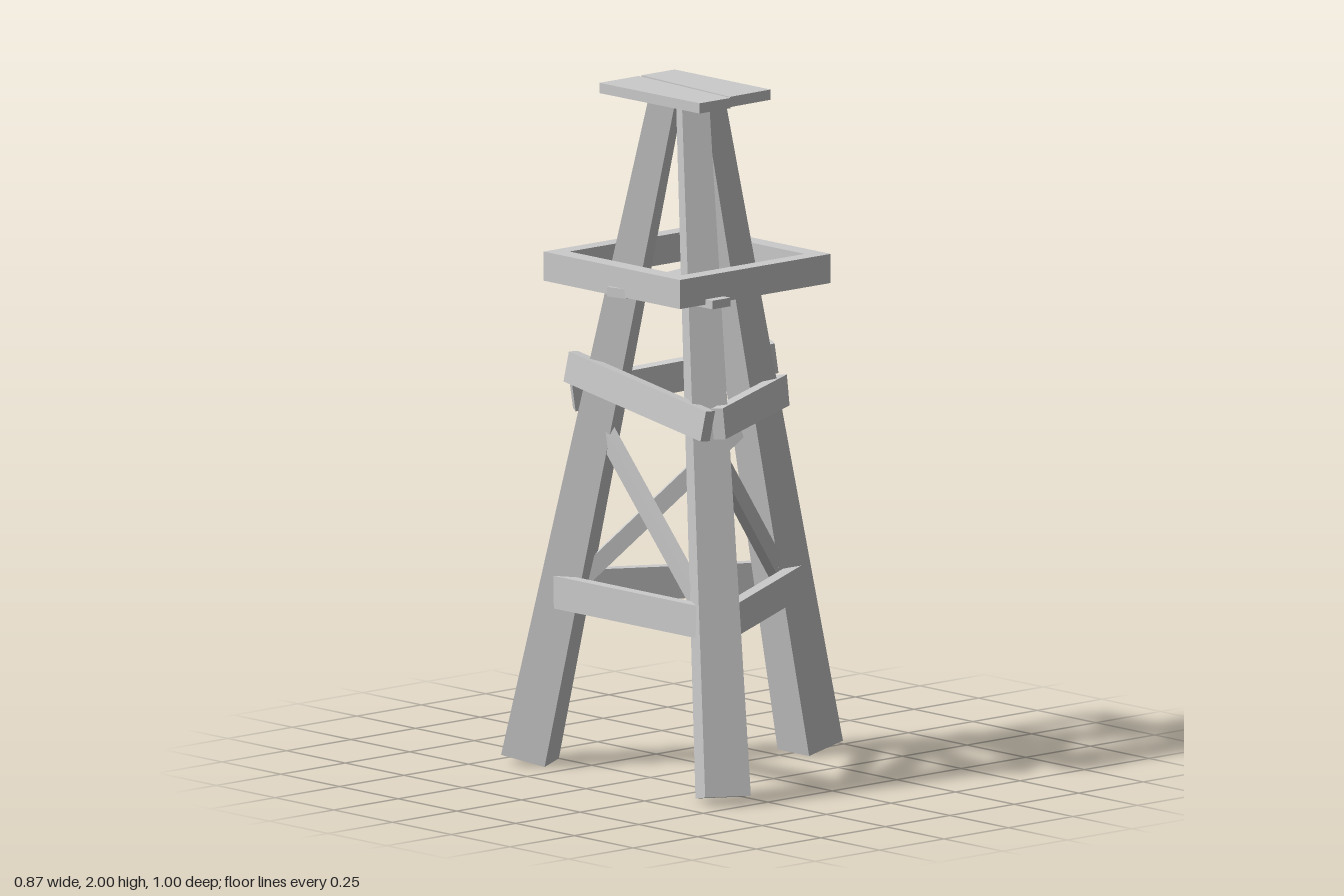
import * as THREE from 'three';

const material = new THREE.MeshStandardMaterial({ color: 0xcccccc, flatShading: true });
const AXIS_X = -0.105; // the tripod's own vertical axis

function add(parent, name, geometry, position = [0, 0, 0], rotation = [0, 0, 0]) {
  const mesh = new THREE.Mesh(geometry, material);
  mesh.name = name;
  mesh.position.set(...position);
  mesh.rotation.set(...rotation);
  parent.add(mesh);
  return mesh;
}

const box = (w, h, d) => new THREE.BoxGeometry(w, h, d);

// Square post, narrower at the top
function taperedPost(bottom, top, height) {
  const geometry = box(1, height, 1);
  const p = geometry.attributes.position;
  for (let i = 0; i < p.count; i++) {
    const s = p.getY(i) > 0 ? top : bottom;
    p.setX(i, p.getX(i) * s);
    p.setZ(i, p.getZ(i) * s);
  }
  geometry.computeVertexNormals();
  return geometry;
}

// Flat slab from an [x, z] outline, hanging down from y = 0
function slab(outline, thickness, hole) {
  const points = (list) => list.map(([x, z]) => new THREE.Vector2(x, z));
  const shape = new THREE.Shape(points(outline));
  if (hole) shape.holes.push(new THREE.Path(points(hole)));
  return new THREE.ExtrudeGeometry(shape, { depth: thickness, bevelEnabled: false }).rotateX(Math.PI / 2);
}

const rect = (x0, x1, z) => [[x0, -z], [x1, -z], [x1, z], [x0, z]];

// Beam running between two points, its local y along the run
function beam(parent, name, from, to, width, depth) {
  const a = new THREE.Vector3(...from);
  const b = new THREE.Vector3(...to);
  const mesh = add(parent, name, box(width, a.distanceTo(b), depth));
  mesh.position.copy(a).add(b).multiplyScalar(0.5);
  mesh.quaternion.setFromUnitVectors(new THREE.Vector3(0, 1, 0), b.sub(a).normalize());
}

export function createModel() {
  const model = new THREE.Group();
  model.name = 'woodenTower';

  const tripod = new THREE.Group();
  tripod.name = 'tripod';
  tripod.position.x = AXIS_X;
  model.add(tripod);

  // Three leaning legs
  const lean = Math.atan2(0.41, 1.95);
  const legLength = Math.hypot(0.41, 1.95);
  for (let i = 0; i < 3; i++) {
    const leg = new THREE.Group();
    leg.name = 'leg';
    leg.rotation.y = (i * 2 * Math.PI) / 3;
    add(leg, 'legPost', taperedPost(0.134, 0.08, legLength), [0.27, 0.99, 0], [0, 0, lean]);
    tripod.add(leg);
  }

  // Each side: lower rail, diagonal brace and a crooked upper rail
  const upperRails = [
    { y: 1.075, tilt: -0.02 },
    { y: 1.12, tilt: -0.15 },
    { y: 1.12, tilt: -0.15 },
  ];
  upperRails.forEach(({ y, tilt }, i) => {
    const side = new THREE.Group();
    side.name = 'side';
    side.rotation.y = Math.PI / 6 + (i * 2 * Math.PI) / 3;
    add(side, 'lowerRail', box(0.63, 0.095, 0.035), [0, 0.512, 0.227]);
    add(side, 'upperRail', box(0.6, 0.09, 0.036), [0, y, 0.188], [-0.1, 0, tilt]);
    beam(side, 'diagonalBrace', [-0.28, 1.06, 0.13], [0.29, 0.52, 0.19], 0.05, 0.035);
    tripod.add(side);
  });

  // Square frame around the legs
  add(model, 'squareFrame', slab(rect(-0.4, 0.185, 0.29), 0.085, rect(-0.345, 0.13, 0.24)), [0, 1.515, 0]);

  // Two loose slats carrying the frame
  add(model, 'frameSlat', box(0.635, 0.028, 0.068), [-0.097, 1.436, -0.043], [0, 0.228, -0.015]);
  add(model, 'frameSlat', box(0.07, 0.025, 0.64), [-0.265, 1.43, 0], [-0.01, 0, 0]);

  // Two top planks with a slanted gap
  add(model, 'topPlank', slab([[-0.255, -0.212], [-0.102, -0.212], [-0.13, 0.21], [-0.25, 0.21]], 0.03), [0, 2, 0]);
  add(model, 'topPlank', slab([[-0.088, -0.215], [0.04, -0.215], [0.04, 0.193], [-0.12, 0.197]], 0.03), [0, 2, 0]);

  return model;
}
